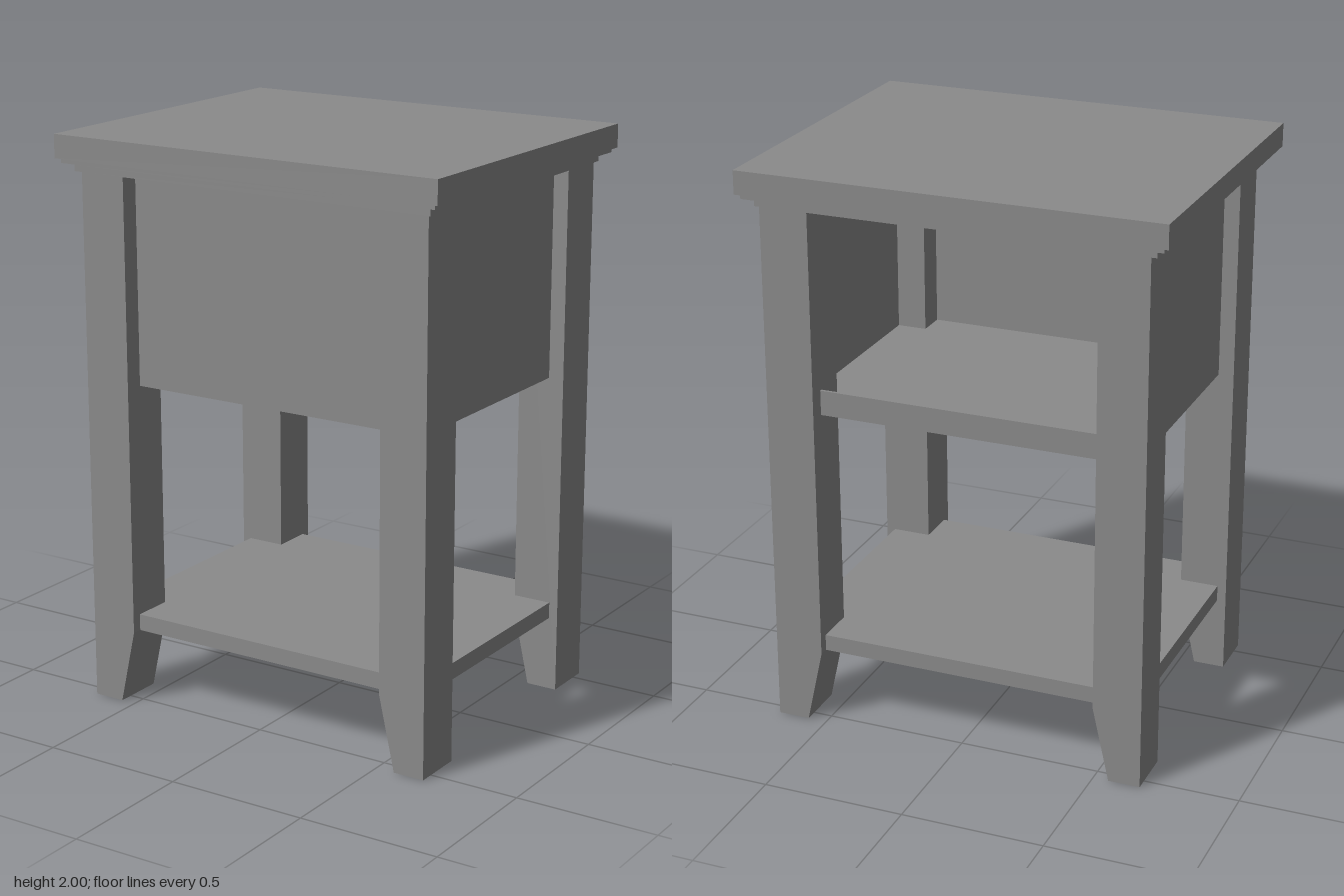
import * as THREE from 'three';

const material = new THREE.MeshStandardMaterial({ color: 0x8b8b8b, flatShading: true });

// Box given by its min and max along each axis
function box(name, [x0, x1], [y0, y1], [z0, z1]) {
  const mesh = new THREE.Mesh(new THREE.BoxGeometry(x1 - x0, y1 - y0, z1 - z0), material);
  mesh.position.set((x0 + x1) / 2, (y0 + y1) / 2, (z0 + z1) / 2);
  mesh.name = name;
  return mesh;
}

export function createModel() {
  const group = new THREE.Group();
  group.name = 'nightstand';

  // Table top with two stepped mouldings beneath it
  group.add(
    box('tableTop', [-0.74, 0.74], [1.918, 2], [-0.6, 0.6]),
    box('upperMoulding', [-0.723, 0.723], [1.902, 1.918], [-0.588, 0.588]),
    box('lowerMoulding', [-0.69, 0.69], [1.873, 1.902], [-0.558, 0.558])
  );

  // The frame sits slightly off the centre of the top
  const frame = new THREE.Group();
  frame.name = 'frame';
  frame.position.set(0.007, 0, 0.003);
  group.add(frame);

  // Legs: the inner side tapers towards the foot
  const outer = 0.673, inner = 0.502, foot = 0.561, depth = 0.182, legFront = 0.547;
  for (const side of [-1, 1]) {
    const points = [[outer, 0], [outer, 1.873], [inner, 1.873], [inner, 0.265], [foot, 0]];
    const profile = new THREE.Shape(points.map(([x, y]) => new THREE.Vector2(side * x, y)));
    const geometry = new THREE.ExtrudeGeometry(profile, { depth, bevelEnabled: false });
    for (const end of ['front', 'back']) {
      const leg = new THREE.Mesh(geometry, material);
      leg.position.z = end === 'front' ? legFront - depth : -legFront;
      leg.name = end + (side > 0 ? 'Left' : 'Right') + 'Leg';
      frame.add(leg);
    }
  }

  // Thin panels between the legs; the back is open above a low rail
  const panelY = [1.142, 1.873];
  frame.add(
    box('frontPanel', [-0.51, 0.51], panelY, [0.47, 0.48]),
    box('leftPanel', [0.608, 0.618], panelY, [-0.37, 0.37]),
    box('rightPanel', [-0.618, -0.608], panelY, [-0.37, 0.37]),
    box('backRail', [-0.51, 0.51], [1.142, 1.23], [-0.49, -0.48])
  );

  // Shelves: each is a cross of boards that fits round the legs
  const shelf = (name, x, y, back, front) => {
    const part = new THREE.Group();
    part.name = name;
    part.add(
      box('longBoard', [-inner, inner], y, [back, front]),
      box('leftEnd', [inner, x], y, [-0.365, 0.365]),
      box('rightEnd', [-x, -inner], y, [-0.365, 0.365])
    );
    frame.add(part);
  };
  shelf('compartmentFloor', 0.61, [1.142, 1.153], -0.482, 0.472);
  shelf('lowerShelf', 0.641, [0.265, 0.323], -0.511, 0.511);

  return group;
}
